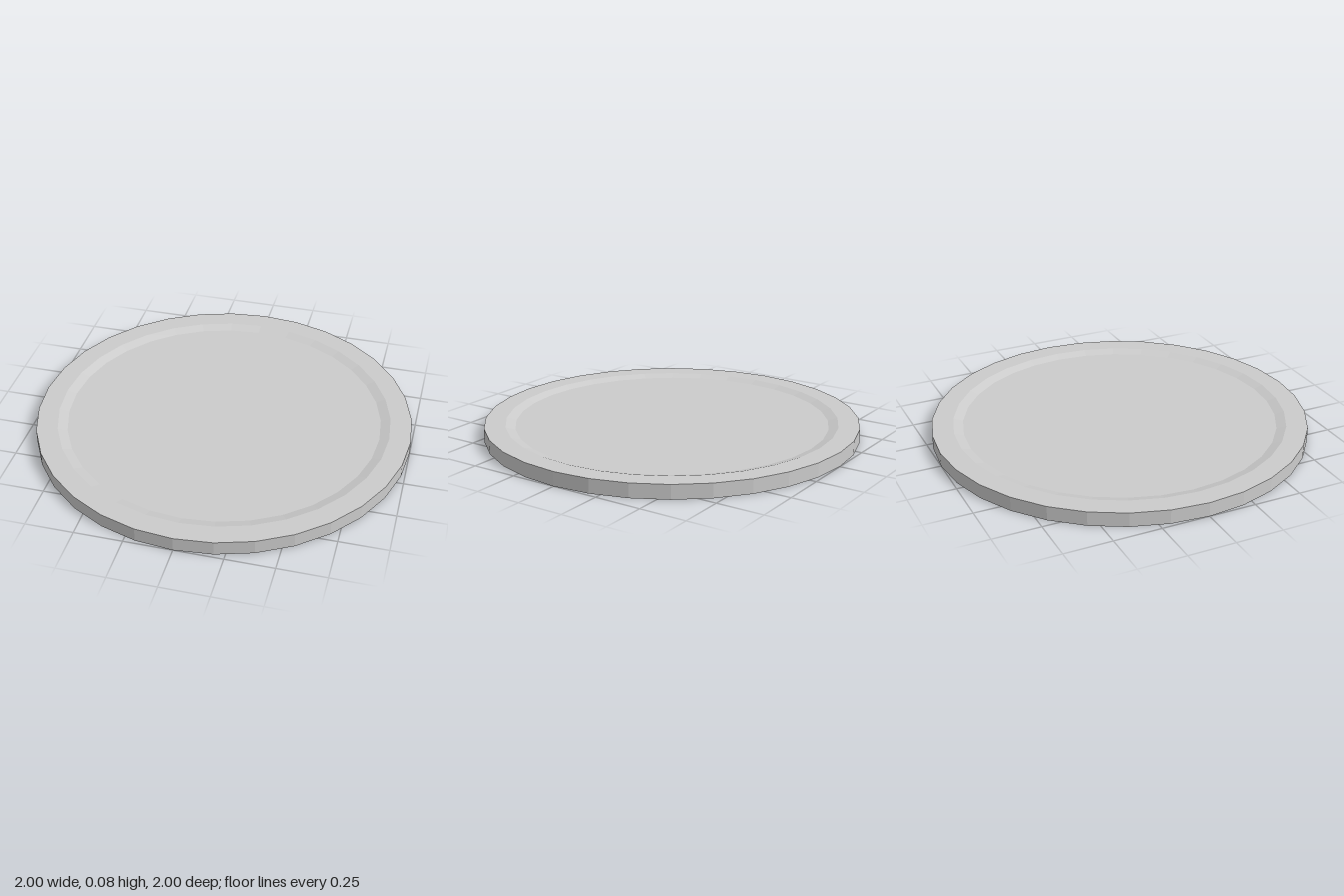
import * as THREE from 'three';

const SIDES = 32;
const HEIGHT = 0.075;
const RADIUS = 1;
const RIM_INNER = 0.888; // where the flat rim ends
const FIELD = 0.837;     // where the sunken field begins
const DEPTH = 0.015;     // how far the field lies below the rim

export function createModel() {
  const group = new THREE.Group();
  group.name = 'coin';

  // Half of the cross-section, from the centre of the underside to the outer edge
  const underside = [[0, DEPTH], [FIELD, DEPTH], [RIM_INNER, 0], [RADIUS, 0]];
  // The upper half mirrors it, from the outer edge back to the centre
  const topside = underside.map(([r, y]) => [r, HEIGHT - y]).reverse();
  const profile = [...underside, ...topside].map(([r, y]) => new THREE.Vector2(r, y));

  // Faceted disc with a raised rim on both faces
  const disc = new THREE.Mesh(
    new THREE.LatheGeometry(profile, SIDES),
    new THREE.MeshStandardMaterial({ color: 0xcccccc, flatShading: true })
  );
  disc.name = 'rimmedDisc';
  group.add(disc);

  return group;
}
